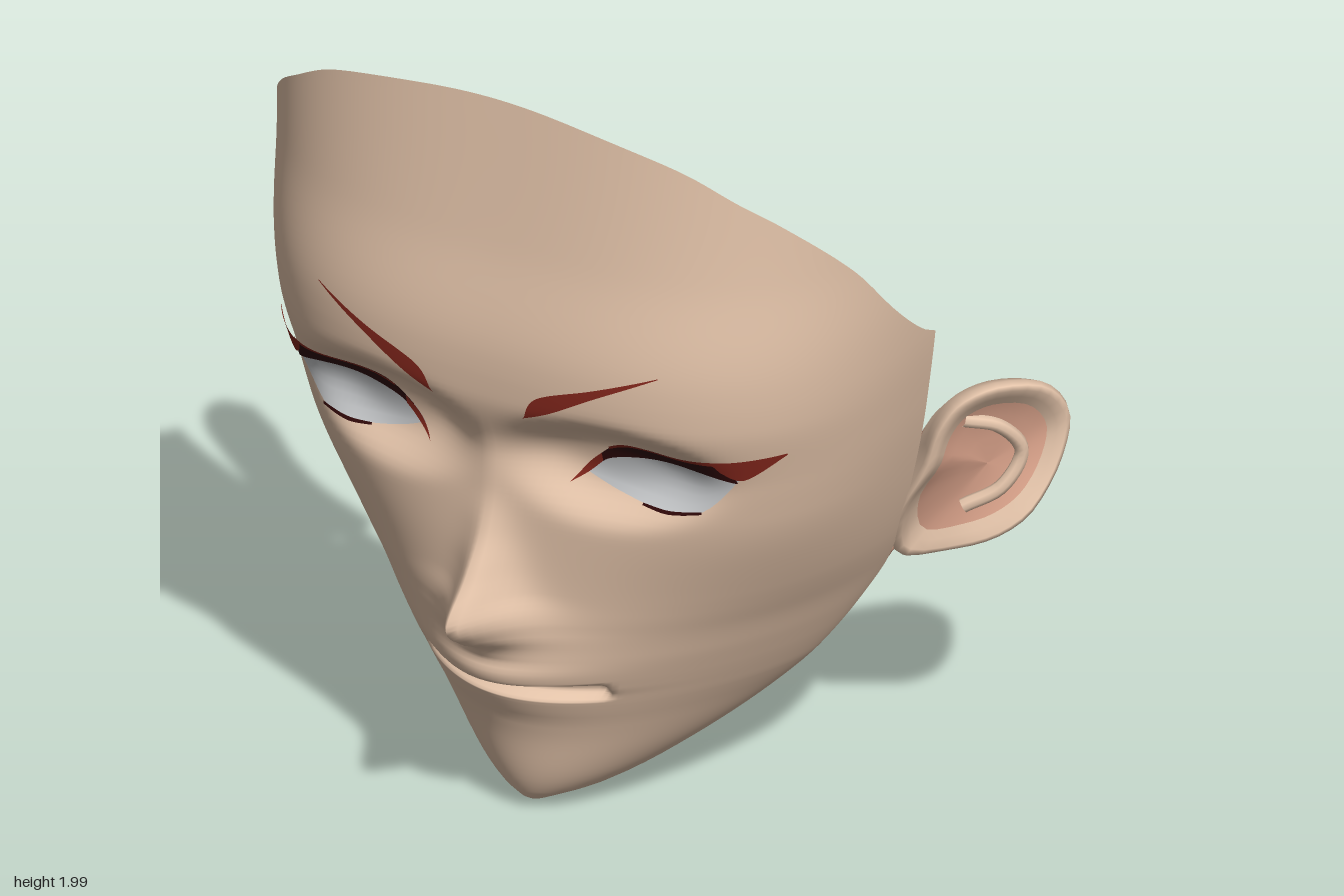
import * as THREE from 'three';
import { mergeVertices } from 'three/addons/utils/BufferGeometryUtils.js';

const mat = (name, color) => {
  const m = new THREE.MeshStandardMaterial({ color, side: THREE.DoubleSide });
  m.name = name;
  return m;
};

// Smooth monotone curve through [position, value] pairs
function curve(p) {
  const n = p.length - 1;
  const d = p.slice(1).map((q, i) => (q[1] - p[i][1]) / (q[0] - p[i][0]));
  const m = p.map((_, i) => i === 0 ? d[0] : i === n ? d[n - 1]
    : d[i - 1] * d[i] <= 0 ? 0 : 2 * d[i - 1] * d[i] / (d[i - 1] + d[i]));
  return (x) => {
    if (x <= p[0][0]) return p[0][1];
    if (x >= p[n][0]) return p[n][1];
    let i = 0;
    while (x > p[i + 1][0]) i++;
    const h = p[i + 1][0] - p[i][0], t = (x - p[i][0]) / h, t2 = t * t, t3 = t2 * t;
    return (2 * t3 - 3 * t2 + 1) * p[i][1] + (t3 - 2 * t2 + t) * h * m[i]
      + (3 * t2 - 2 * t3) * p[i + 1][1] + (t3 - t2) * h * m[i + 1];
  };
}

// Surface from a rule: fn(i, j) returns [x, y, z]
function grid(fn, nu, nv) {
  const pos = [], idx = [];
  for (let j = 0; j <= nv; j++) for (let i = 0; i <= nu; i++) {
    pos.push(...fn(i, j));
    if (i < nu && j < nv) {
      const a = j * (nu + 1) + i, c = a + nu + 1;
      idx.push(a, a + 1, c + 1, a, c + 1, c);
    }
  }
  let g = new THREE.BufferGeometry();
  g.setAttribute('position', new THREE.Float32BufferAttribute(pos, 3));
  g.setIndex(idx);
  g = mergeVertices(g, 1e-5);
  g.computeVertexNormals();
  return g;
}

// Face measures by height: half width, front depth, back depth, section shape
const halfW = curve([[0, .012], [.02, .05], [.06, .15], [.16, .3], [.28, .44], [.38, .53], [.55, .63],
  [.7, .695], [.9, .755], [1.1, .80], [1.3, .83], [1.44, .84], [1.6, .845], [1.84, .86], [2, .87]]);
const front = curve([[0, .18], [.03, .24], [.1, .28], [.24, .318], [.33, .35], [.42, .375],
  [.52, .4], [.65, .41], [.8, .41], [.94, .41], [1.04, .415], [1.23, .465], [1.33, .47], [1.62, .425], [1.99, .375]]);
const back = curve([[0, .16], [.1, .04], [.32, -.19], [.5, -.3], [.6, -.34], [.75, -.315], [.9, -.3], [1.3, -.27], [2, -.27]]);
const bend = curve([[0, .7], [.3, .75], [.45, .66], [.7, .48], [.95, .39], [2, .4]]);
const power = curve([[.3, 2], [.65, 2.1], [1.1, 2.95], [2, 3]]);
const noseH = curve([[.5, 0], [.54, .04], [.58, .12], [.62, .18], [.65, .2], [.75, .115], [.85, .045], [.95, .012], [1.1, 0]]);
const noseW = curve([[.5, .11], [.6, .095], [.645, .08], [.7, .062], [.8, .055], [1, .05]]);
const lipH = curve([[.3, 0], [.35, .012], [.39, .02], [.42, .05], [.46, .062], [.52, .035], [.6, 0]]);
const groove = curve([[.375, 0], [.39, .03], [.4, .05], [.415, .06], [.43, .02], [.44, 0]]);
const rimY = curve([[0, 1.3], [.141, 1.44], [.31, 1.6], [.57, 1.77], [.7, 1.84], [.82, 1.91], [.96, 1.97], [1, 1.99]]);

const gauss = (x, y, cx, cy, rx, ry, p = 1) => Math.exp(-Math.pow(((x - cx) / rx) ** 2 + ((y - cy) / ry) ** 2, p));

// Depth of the face at (x, y)
function faceZ(x, y) {
  const ax = Math.abs(x), X = Math.min(1, ax / halfW(y)), b = back(y);
  return b + (front(y) - b) * Math.pow(1 - Math.pow(X, power(y)), bend(y))
    + noseH(y) * Math.exp(-Math.pow(ax / noseW(y), 1.4))
    + lipH(y) * Math.exp(-((ax / .2) ** 2))
    - groove(y) * (1 - 6 * ax * ax) * (1 - THREE.MathUtils.smoothstep(ax, .235, .265))
    - .085 * gauss(ax, y, .31, 1.07, .23, .12, 2);
}

function createModel() {
  const root = new THREE.Group();
  root.name = 'faceMask';
  const skin = mat('skin', 0xe4c4aa), pink = mat('pinkSkin', 0xd9a28a), white = mat('eyeWhite', 0xc8cacc);
  const dark = mat('darkMaroon', 0x2f0808), red = mat('deepRed', 0x87281d);
  const add = (name, geo, m, parent = root) => {
    const mesh = new THREE.Mesh(geo, m);
    mesh.name = name;
    parent.add(mesh);
    return mesh;
  };

  // Face shell: level rows up to the temples, then rows that fan up to the slanted rim
  const rows = [];
  for (const [a, b, n] of [[0, .06, 6], [.06, .36, 15], [.36, .45, 18], [.45, .7, 20], [.7, 1.3, 36]])
    for (let k = 0; k < n; k++) rows.push(a + (b - a) * k / n);
  const level = rows.length, fan = 20, cols = 120;
  add('face', grid((i, j) => {
    const f = (i / cols - .5) * Math.PI;
    const y = j < level ? rows[j] : 1.3 + (rimY(Math.cos(f)) - 1.3) * (j - level) / fan;
    const x = halfW(y) * Math.sin(f);
    return [x, y, faceZ(x, y)];
  }, cols, level + fan), skin);

  // Underside of the jaw, from the jaw line to the open neck edge
  const neck = new THREE.CatmullRomCurve3([[0, .1, -.13], [.1, .12, -.15], [.22, .17, -.21], [.33, .29, -.3],
    [.43, .43, -.388], [.55, .56, -.4], [.65, .61, -.42]].map((p) => new THREE.Vector3(...p)));
  for (const s of [1, -1]) {
    add('jawUnderside', grid((i, j) => {
      const u = i / 30, y = .62 * u, r = neck.getPoint(u), k = j / 4;
      const e = [u ? halfW(y) : 0, y, back(y)];
      return [s * (e[0] + (r.x - e[0]) * k), e[1] + (r.y - e[1]) * k, e[2] + (r.z - e[2]) * k];
    }, 30, 4), pink);
  }

  // Strip laid on the face between an upper and a lower line
  const strip = (s, upper, lower, off) => {
    const line = (p) => new THREE.SplineCurve(p.map((q) => new THREE.Vector2(...q)));
    const a = line(upper), b = line(lower);
    return grid((i, j) => {
      const p = a.getPoint(i / 24).lerp(b.getPoint(i / 24), j / 6);
      return [s * p.x, p.y, faceZ(p.x, p.y) + off];
    }, 24, 6);
  };

  const eyeTop = [[.225, 1.03], [.3, 1.1], [.42, 1.12], [.55, 1.115], [.618, 1.085]];
  const eyeLow = [[.225, 1.03], [.31, .995], [.42, .975], [.53, .985], [.618, 1.085]];
  for (const s of [1, -1]) {
    const eye = new THREE.Group();
    eye.name = s > 0 ? 'leftEye' : 'rightEye';
    root.add(eye);
    add('eyeWhite', strip(s, eyeTop, eyeLow, .009), white, eye);
    add('eyeWhiteInside', strip(s, [[.19, 1.03], [.27, 1.13], [.42, 1.16], [.56, 1.14], [.63, 1.08]],
      [[.19, 1.03], [.28, .96], [.42, .935], [.56, .955], [.63, 1.08]], -.012), white, eye);
    // Hollow dark cone behind the eye, with red corners
    add('eyeSocket', grid((i, j) => {
      const a = i / 24 * Math.PI * 2, k = j / 4;
      const x = .425 + .16 * Math.cos(a), y = 1.045 + .05 * Math.sin(a);
      return [s * (x + (.4 - x) * k), y + (1.05 - y) * k, (faceZ(x, y) - .016) * (1 - k) + .1 * k];
    }, 24, 4), dark, eye);
    add('socketOuterCorner', strip(s, [[.53, 1.09], [.61, 1.07]], [[.53, 1.02], [.61, 1.065]], -.022), red, eye);
    add('socketInnerCorner', strip(s, [[.235, 1.03], [.32, 1.07]], [[.235, 1.025], [.32, .995]], -.022), red, eye);
    // Lashes with red edge, wing and inner corner
    add('upperLash', strip(s, [[.255, 1.075], [.31, 1.125], [.37, 1.146], [.5, 1.147], [.61, 1.14]],
      [[.255, 1.05], [.3, 1.085], [.4, 1.105], [.53, 1.103], [.615, 1.075]], .016), dark, eye);
    add('lashEdge', strip(s, [[.3, 1.124], [.37, 1.152], [.5, 1.153], [.6, 1.15]],
      [[.3, 1.116], [.37, 1.141], [.5, 1.143], [.6, 1.136]], .019), red, eye);
    add('lashWing', strip(s, [[.575, 1.15], [.64, 1.15], [.71, 1.153]], [[.59, 1.115], [.632, 1.088], [.71, 1.149]], .021), red, eye);
    add('innerCorner', strip(s, [[.195, 1.0], [.24, 1.06], [.275, 1.095]], [[.195, 1.0], [.235, 1.03], [.275, 1.07]], .018), red, eye);
    add('lowerLash', strip(s, [[.38, .981], [.45, .977], [.53, .987]], [[.38, .976], [.45, .969], [.53, .98]], .013), dark, eye);
    // Slanted brow
    add('brow', strip(s, [[.13, 1.205], [.17, 1.27], [.32, 1.328], [.475, 1.385]],
      [[.125, 1.2], [.2, 1.235], [.33, 1.31], [.475, 1.383]], .009), red);
  }

  // Mouth interior: a flat, squarish dome with skin walls beside it
  const square = (v) => Math.sign(v) * Math.pow(Math.abs(v), .7);
  add('mouthInterior', grid((i, j) => {
    const a = i / 40 * Math.PI * 2, b = (j / 12 - .5) * Math.PI;
    return [.235 * square(Math.cos(a)) * Math.cos(b), .43 + .045 * Math.sin(b), .21 + .14 * square(Math.sin(a)) * Math.cos(b)];
  }, 40, 12), red);
  const lip = add('innerLip', new THREE.CylinderGeometry(1, 1, .07, 32, 1, true, -2, 4), skin);
  lip.scale.set(.245, 1, .085);
  lip.position.set(0, .39, .165);

  // Ears: loops of one outline, scaled and pushed along the ear's facing direction
  const outline = new THREE.CatmullRomCurve3([[0, .9], [.03, 1.0], [.08, 1.07], [.17, 1.105], [.3, 1.075], [.37, .98],
    [.35, .87], [.28, .76], [.19, .685], [.09, .635], [-.02, .6], [-.05, .74]].map((p) => new THREE.Vector3(p[0], p[1], 0)), true);
  const clamp = THREE.MathUtils.clamp;
  const earPoint = (side, s, y, h) => {
    h += .04 * Math.sin(Math.PI * clamp(s / .38, 0, 1)) - .11 * clamp((.88 - y) / .26, 0, 1) * clamp(1 - s / .25, 0, 1);
    return [side * (.775 + .61 * s + .79 * h), y, -.31 - .79 * s + .61 * h];
  };
  const earLoops = (side, loops) => grid((i, j) => {
    const p = outline.getPoint((i % 40) / 40), [k, h, shift] = loops[j];
    return earPoint(side, .17 + (p.x - .17) * k + shift, .86 + (p.y - .86) * k + shift * .5, h);
  }, 40, loops.length - 1);
  for (const side of [1, -1]) {
    const ear = new THREE.Group();
    ear.name = side > 0 ? 'leftEar' : 'rightEar';
    root.add(ear);
    add('earBase', earLoops(side, [[.01, -.13, -.09], [.35, -.13, -.09], [.55, -.125, -.07], [.74, -.105, -.03]]), pink, ear);
    add('earRim', earLoops(side, [[.74, -.105, -.03], [.92, -.06, 0], [1, -.01, 0], [.98, .008, 0], [.92, .008, 0],
      [.82, -.01, 0], [.72, -.028, 0]]), skin, ear);
    add('earBowl', earLoops(side, [[.72, -.028, 0], [.55, -.045, 0], [.3, -.055, 0], [.01, -.06, 0]]), pink, ear);
    const fold = [[.1, 1.0, -.035], [.19, .97, -.038], [.25, .89, -.04], [.2, .8, -.04], [.11, .75, -.035]]
      .map((p) => new THREE.Vector3(...earPoint(side, ...p)));
    add('earFold', new THREE.TubeGeometry(new THREE.CatmullRomCurve3(fold), 24, .018, 8), skin, ear);
  }
  return root;
}

export { createModel };
